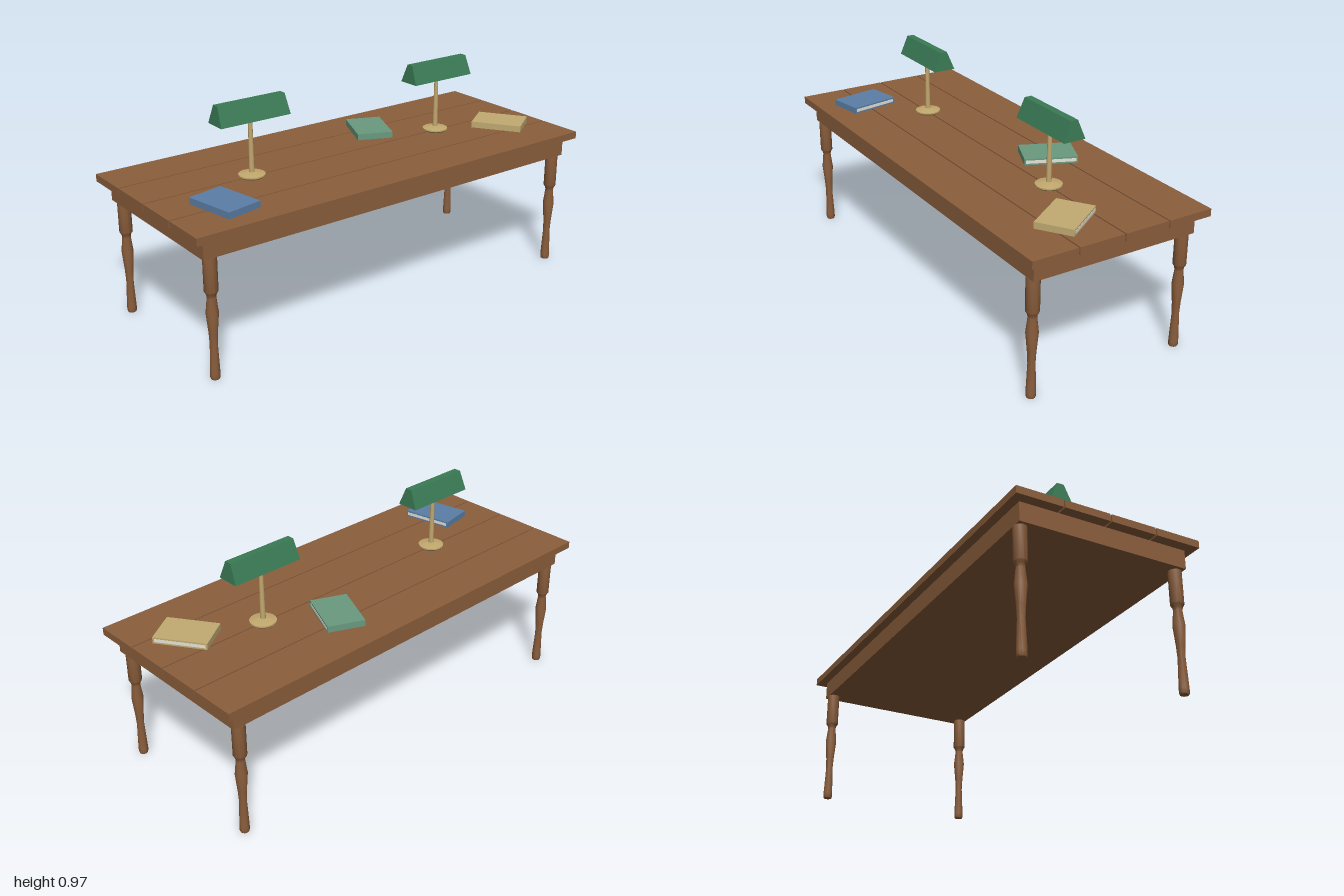
import * as THREE from 'three';
import { toCreasedNormals } from 'three/addons/utils/BufferGeometryUtils.js';

const paint = (name, color) => {
  const m = new THREE.MeshStandardMaterial({ color });
  m.name = name;
  return m;
};

export function createModel() {
  const wood = paint('brown wood', 0x8b5e3c);
  const green = paint('lamp green', 0x3a7a55);
  const brass = paint('brass', 0xc2a86e);
  const blueCover = paint('blue cover', 0x5b7fa6);
  const greenCover = paint('sage cover', 0x6a9a80);
  const tanCover = paint('tan cover', 0xc2ab72);
  const paper = paint('paper', 0xe6e2d6);

  const model = new THREE.Group();
  model.name = 'readingTable';

  const add = (parent, name, geometry, material, x = 0, y = 0, z = 0) => {
    const mesh = new THREE.Mesh(geometry, material);
    mesh.name = name;
    mesh.position.set(x, y, z);
    parent.add(mesh);
    return mesh;
  };
  const turned = (points, sides) => toCreasedNormals(
    new THREE.LatheGeometry(points.map(([r, y]) => new THREE.Vector2(r, y)), sides), 0.6);

  // Table top: four planks with narrow gaps over a solid apron
  for (let i = 0; i < 4; i++) {
    add(model, 'plank', new THREE.BoxGeometry(2, 0.032, 0.202), wood, 0, 0.619, (i - 1.5) * 0.208);
  }
  add(model, 'apron', new THREE.BoxGeometry(1.91, 0.082, 0.75), wood, 0, 0.562, 0);

  // Turned legs
  const leg = turned([
    [0, 0], [0.018, 0], [0.0205, 0.008], [0.0205, 0.025], [0.0155, 0.15], [0.018, 0.2],
    [0.0255, 0.285], [0.018, 0.352], [0.021, 0.365], [0.028, 0.376], [0.028, 0.521], [0, 0.521],
  ], 12);
  for (const x of [-0.915, 0.915]) {
    for (const z of [-0.35, 0.35]) add(model, 'leg', leg, wood, x, 0, z);
  }

  // Desk lamps: turned base, tapered post, prism shade
  const base = turned([
    [0, 0], [0.05, 0], [0.057, 0.007], [0.057, 0.013], [0.015, 0.022], [0, 0.022],
  ], 20);
  const post = new THREE.CylinderGeometry(0.0085, 0.012, 0.26, 12);
  const shade = new THREE.BoxGeometry(0.33, 0.083, 0.1).toNonIndexed();
  const p = shade.attributes.position;
  for (let i = 0; i < p.count; i++) {
    if (p.getY(i) > 0) p.setXYZ(i, p.getX(i) * 0.965, p.getY(i), p.getZ(i) * 0.32);
  }
  shade.computeVertexNormals();
  for (const x of [-0.5, 0.5]) {
    const lamp = new THREE.Group();
    lamp.name = 'deskLamp';
    lamp.position.set(x, 0.635, 0);
    add(lamp, 'lampBase', base, brass);
    add(lamp, 'lampPost', post, brass, 0, 0.145, 0);
    add(lamp, 'lampShade', shade, green, 0, 0.2915, 0);
    model.add(lamp);
  }

  // Closed books with the page edge on the opening side
  const books = [
    [blueCover, -0.755, 0.205, 0.19],
    [greenCover, 0.245, -0.17, -0.41],
    [tanCover, 0.79, 0.125, 0.59],
  ];
  for (const [cover, x, z, turn] of books) {
    const book = new THREE.Group();
    book.name = 'book';
    book.position.set(x, 0.649, z);
    book.rotation.y = turn;
    add(book, 'bookCover', new THREE.BoxGeometry(0.162, 0.028, 0.229), cover);
    add(book, 'pageEdge', new THREE.BoxGeometry(0.002, 0.014, 0.215), paper, 0.0808, 0, 0);
    model.add(book);
  }
  return model;
}
